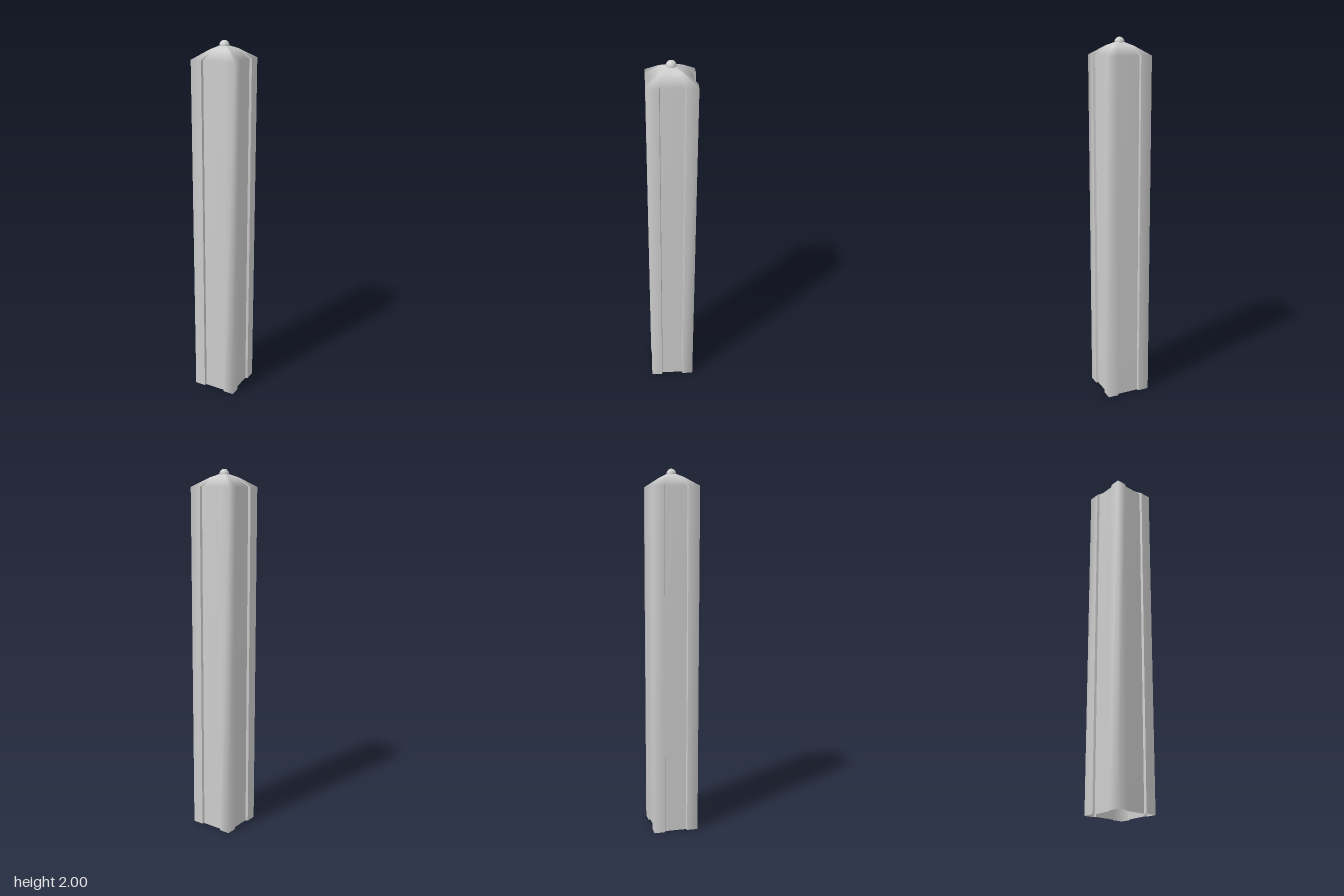
import * as THREE from 'three';

const grey = new THREE.MeshStandardMaterial({ color: 0xcccccc, side: THREE.DoubleSide });
grey.name = 'light grey';

// Rows of the shaft: corner reach c, rib edge a, panel half width b, panel depth d
const rows = [
  { y: 0, c: 0.125, a: 0.064, b: 0.06, d: 0.112 },
  { y: 1.908, c: 0.125, a: 0.064, b: 0.06, d: 0.112 },
  { y: 1.956, c: 0.055, a: 0.037, b: 0.037, d: 0.055 }, // ribs and panels merge here
  { y: 1.973, r: 0.027 },
];
const MERGE = 2;

// Five points of one quarter at a row: panel left and right, then the rib round the corner
function quarter(row, turn) {
  const s = row.r ? rows[MERGE] : row;
  const pts = [[-s.b, s.d], [s.b, s.d], [s.a, s.c], [s.c, s.c], [s.c, s.a], [s.d, s.b]];
  return pts.map(([x, z]) => {
    const k = row.r ? row.r / Math.hypot(x, z) : 1;
    x *= k;
    z *= k;
    for (let i = 0; i < turn; i++) [x, z] = [z, -x];
    return [x, row.y, z];
  });
}

// Ribbed shaft, open below: normals are smooth inside each strip, sharp at the notches
function shaftGeometry() {
  const positions = [], index = [], ids = new Map();
  const vertex = (p, row, strip) => {
    const key = p.map((v) => Math.round(v * 1e4)).join() + (row < MERGE ? '/' + strip : '');
    if (!ids.has(key)) {
      ids.set(key, positions.length / 3);
      positions.push(...p);
    }
    return ids.get(key);
  };
  const triangle = (a, b, c) => {
    if (a !== b && b !== c && c !== a) index.push(a, b, c);
  };
  const stripOf = [0, 1, 2, 2, 3]; // panel, wall, rib, rib, wall
  for (let turn = 0; turn < 4; turn++) {
    for (let i = 0; i < rows.length - 1; i++) {
      const low = quarter(rows[i], turn), high = quarter(rows[i + 1], turn);
      for (let j = 0; j < 5; j++) {
        const strip = turn * 4 + stripOf[j];
        const l0 = vertex(low[j], i, strip), r0 = vertex(low[j + 1], i, strip);
        const l1 = vertex(high[j], i + 1, strip), r1 = vertex(high[j + 1], i + 1, strip);
        triangle(l0, r0, r1);
        triangle(l0, r1, l1);
      }
    }
  }
  const geometry = new THREE.BufferGeometry();
  geometry.setAttribute('position', new THREE.Float32BufferAttribute(positions, 3));
  geometry.setIndex(index);
  geometry.computeVertexNormals();
  return geometry;
}

export function createModel() {
  const group = new THREE.Group();
  group.name = 'ribbedPost';

  const shaft = new THREE.Mesh(shaftGeometry(), grey);
  shaft.name = 'ribbedShaft';
  group.add(shaft);

  // Rounded tip
  const tip = new THREE.Mesh(
    new THREE.SphereGeometry(0.026, 24, 10, 0, Math.PI * 2, 0, Math.PI * 0.55), grey);
  tip.name = 'roundTip';
  tip.position.y = 1.974;
  group.add(tip);

  return group;
}
